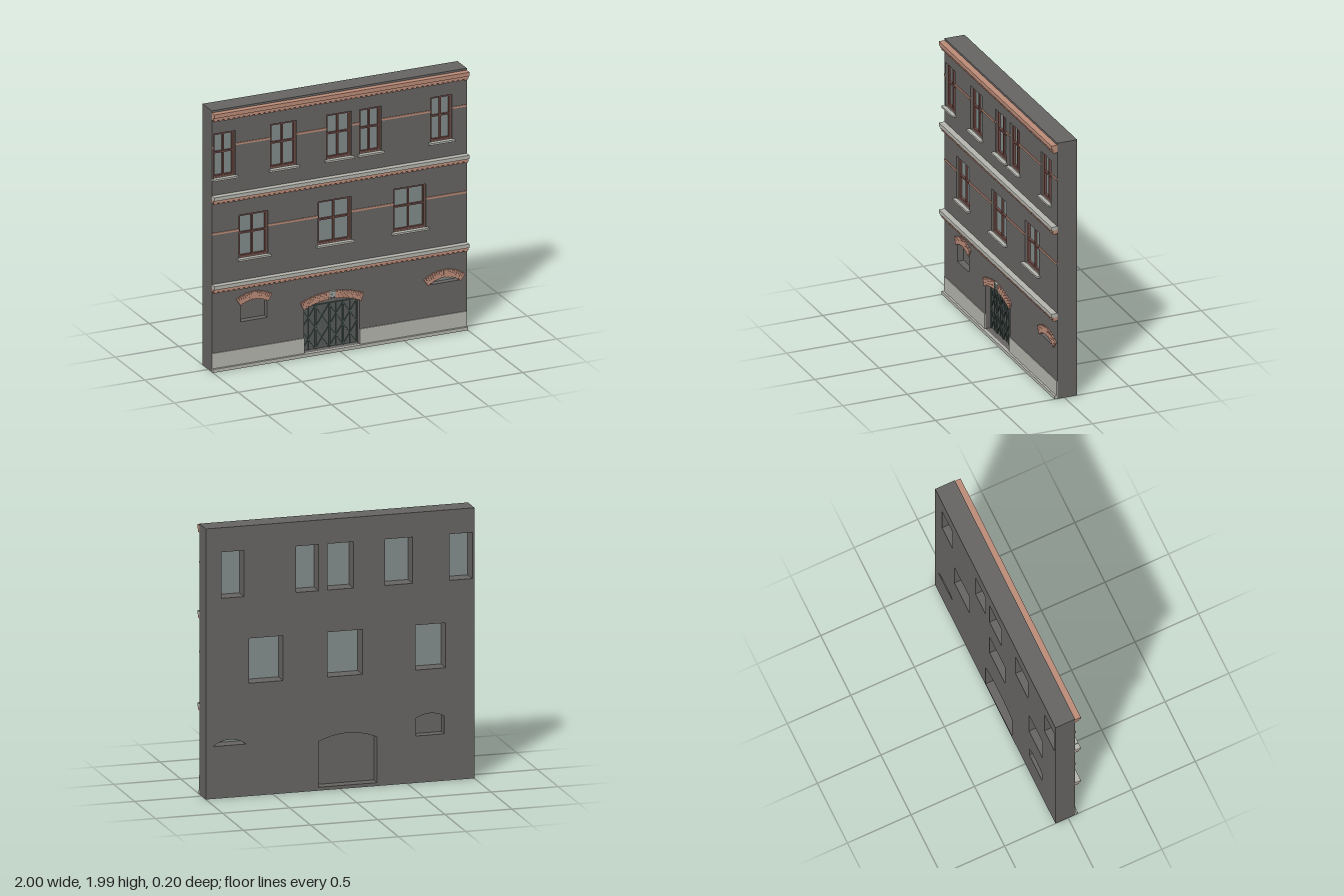
import * as THREE from 'three';

const mat = (name, color) => {
  const m = new THREE.MeshStandardMaterial({ color });
  m.name = name;
  return m;
};

const FRONT = 0.055, BACK = -0.1;

// Openings: [x0, x1, y0, y1, rise of the arched head]
const UPPER = [[-0.985, -0.815], [-0.54, -0.335], [-0.1, 0.095], [0.16, 0.33], [0.715, 0.885]]
  .map(([a, b]) => [a, b, 1.47, 1.81, 0]);
const MIDDLE = [[-0.785, -0.56], [-0.165, 0.095], [0.425, 0.68]]
  .map(([a, b]) => [a, b, 0.83, 1.16, 0]);
const GATE = [-0.275, 0.16, 0.025, 0.36, 0.048];
const NICHE = [-0.775, -0.565, 0.345, 0.475, 0.03];
const LUNETTE = [0.7, 0.945, 0.385, 0.385, 0.042];

// Circle through both springing points and the crown
function arc([x0, x1, , y1, rise]) {
  const half = (x1 - x0) / 2;
  const r = (half * half + rise * rise) / (2 * rise);
  return { cx: (x0 + x1) / 2, cy: y1 + rise - r, r, a: Math.asin(half / r) };
}

function trace(path, o) {
  const [x0, x1, y0, y1, rise] = o;
  path.moveTo(x0, y0);
  path.lineTo(x1, y0);
  if (y1 > y0) path.lineTo(x1, y1);
  if (rise) {
    const { cx, cy, r, a } = arc(o);
    path.absarc(cx, cy, r, Math.PI / 2 - a, Math.PI / 2 + a, false);
  } else path.lineTo(x0, y1);
  path.closePath();
  return path;
}

export function createModel() {
  const model = new THREE.Group();
  model.name = 'facade';
  const wallMat = mat('dark plaster', 0x666462);
  const brick = mat('brick', 0xbb8b78);
  const stone = mat('pale stone', 0xb3b4ad);
  const glass = mat('glass', 0x828c8a);
  const frameMat = mat('brown frame', 0x704a45);
  const gateMat = mat('gate panel', 0x565a58);
  const iron = mat('gate lattice', 0x465551);

  const add = (parent, name, geo, material) => {
    const mesh = new THREE.Mesh(geo, material);
    mesh.name = name;
    parent.add(mesh);
    return mesh;
  };
  // Box from its limits
  const box = (parent, name, material, x0, x1, y0, y1, z0, z1) => {
    const mesh = add(parent, name, new THREE.BoxGeometry(x1 - x0, y1 - y0, z1 - z0), material);
    mesh.position.set((x0 + x1) / 2, (y0 + y1) / 2, (z0 + z1) / 2);
    return mesh;
  };
  const group = (name) => {
    const g = new THREE.Group();
    g.name = name;
    model.add(g);
    return g;
  };
  const plate = (parent, name, material, o, z0, z1) => {
    const geo = new THREE.ExtrudeGeometry(trace(new THREE.Shape(), o),
      { depth: z1 - z0, bevelEnabled: false, curveSegments: 16 });
    add(parent, name, geo, material).position.z = z0;
  };

  // Wall with its openings
  const shape = trace(new THREE.Shape(), [-1, 1, 0.004, 1.99, 0]);
  for (const o of [...UPPER, ...MIDDLE, GATE, NICHE, LUNETTE]) shape.holes.push(trace(new THREE.Path(), o));
  const wall = new THREE.ExtrudeGeometry(shape, { depth: FRONT - BACK, bevelEnabled: false, curveSegments: 16 });
  add(model, 'wall', wall, wallMat).position.z = BACK;
  box(model, 'groundPlate', glass, -1, 1, 0, 0.004, BACK, FRONT);

  // Plinth, cut by the gate, and its foot
  box(model, 'plinthRight', stone, -1, GATE[0], 0.025, 0.14, FRONT, 0.061);
  box(model, 'plinthLeft', stone, GATE[1], 1, 0.025, 0.14, FRONT, 0.061);
  box(model, 'plinthFoot', stone, -1, 1, 0, 0.025, FRONT, 0.077);

  // Cornices: projecting slab, brick band and a row of dentils
  function cornice(name, y, slabHeight, slabMat) {
    const g = group(name);
    box(g, 'slab', slabMat, -1, 1, y - slabHeight, y, FRONT, 0.1);
    const b = y - slabHeight;
    box(g, 'band', brick, -1, 1, b - 0.022, b, FRONT, 0.087);
    const n = 50, step = 2 / n;
    for (let i = 0; i < n; i++) {
      const x = -1 + (i + 0.5) * step;
      box(g, 'dentil', brick, x - 0.012, x + 0.012, b - 0.034, b - 0.022, FRONT, 0.083);
    }
  }
  cornice('lowerCornice', 0.665, 0.028, stone);
  cornice('middleCornice', 1.342, 0.028, stone);
  cornice('topCornice', 1.975, 0.03, brick);

  // String courses running between the windows
  function stringCourse(name, windows, y0, y1) {
    const g = group(name);
    let x = -1;
    for (const [a, b] of [...windows, [1, 1]]) {
      box(g, 'course', brick, x, a, y0, y1, FRONT, 0.061);
      x = b;
    }
  }
  stringCourse('upperStringCourse', UPPER, 1.7, 1.715);
  stringCourse('middleStringCourse', MIDDLE, 1.041, 1.056);

  // Border of four bars
  function border(parent, name, material, x0, x1, y0, y1, t, z0, z1) {
    box(parent, name, material, x0, x0 + t, y0, y1, z0, z1);
    box(parent, name, material, x1 - t, x1, y0, y1, z0, z1);
    box(parent, name, material, x0 + t, x1 - t, y0, y0 + t, z0, z1);
    box(parent, name, material, x0 + t, x1 - t, y1 - t, y1, z0, z1);
  }

  // Windows: glass, frame, cross bars and sill
  for (const [x0, x1, y0, y1] of [...UPPER, ...MIDDLE]) {
    const g = group('window');
    const cx = (x0 + x1) / 2, ty = y0 + (y1 - y0) * 0.56;
    box(g, 'glass', glass, x0, x1, y0, y1, 0.014, 0.02);
    border(g, 'outerTrim', brick, x0, x1, y0, y1, 0.005, 0.02, 0.04);
    border(g, 'frame', frameMat, x0 + 0.005, x1 - 0.005, y0 + 0.005, y1 - 0.005, 0.011, 0.02, 0.036);
    box(g, 'mullion', frameMat, cx - 0.006, cx + 0.006, y0 + 0.016, y1 - 0.016, 0.02, 0.034);
    box(g, 'transom', frameMat, x0 + 0.016, x1 - 0.016, ty - 0.006, ty + 0.006, 0.02, 0.036);
    box(g, 'sill', stone, Math.max(-1, x0 - 0.016), x1 + 0.016, y0 - 0.014, y0, FRONT, 0.08);
  }

  // Brick arches of radiating bricks with ragged ends
  function brickArch(name, o, count, skip = 0) {
    const g = group(name);
    const { cx, cy, r, a } = arc(o);
    const spread = a * 1.03, step = (2 * spread) / count;
    for (let i = 0; i < count; i++) {
      const t = -spread + (i + 0.5) * step;
      if (Math.abs(t) * r < skip) continue;
      const len = i % 2 ? 0.054 : 0.062, mid = r + 0.03;
      const b = add(g, 'brick', new THREE.BoxGeometry(step * mid * 0.95, len, 0.012), brick);
      b.position.set(cx + Math.sin(t) * mid, cy + Math.cos(t) * mid, FRONT + 0.005);
      b.rotation.z = -t;
    }
  }
  brickArch('gateArch', GATE, 35, 0.02);
  brickArch('nicheArch', NICHE, 17);
  brickArch('lunetteArch', LUNETTE, 19);

  // Keystone with a small carved square
  const key = group('keystone');
  box(key, 'block', stone, -0.083, -0.037, 0.415, 0.467, FRONT, 0.068);
  border(key, 'blockEdge', glass, -0.083, -0.037, 0.417, 0.465, 0.006, 0.068, 0.071);
  const boss = add(key, 'boss', new THREE.BoxGeometry(0.016, 0.016, 0.006), glass);
  boss.position.set(-0.06, 0.441, 0.07);
  boss.rotation.z = Math.PI / 4;

  // Blind niche and lunette glass
  plate(model, 'nichePanel', wallMat, NICHE, -0.03, 0.005);
  plate(model, 'lunetteGlass', glass, LUNETTE, 0.0, 0.008);

  // Gate: backing, four leaves and a diamond lattice
  const gate = group('gate');
  plate(gate, 'backing', wallMat, GATE, -0.02, 0.0);
  const [gx0, gx1, gy0, gy1] = GATE;
  box(gate, 'lintel', iron, gx0, gx1, gy1 - 0.008, gy1, 0, 0.014);
  const leaf = (gx1 - gx0) / 4, rows = 2, rowHeight = (gy1 - 0.008 - gy0) / rows;
  for (let i = 0; i < 4; i++) {
    const x0 = gx0 + i * leaf, x1 = x0 + leaf;
    box(gate, 'leaf', gateMat, x0 + 0.002, x1 - 0.002, gy0, gy1 - 0.008, 0, 0.006);
    for (const x of [x0, x1 - 0.006]) box(gate, 'stile', iron, x, x + 0.006, gy0, gy1 - 0.008, 0.006, 0.016);
    box(gate, 'midBar', iron, (x0 + x1) / 2 - 0.002, (x0 + x1) / 2 + 0.002, gy0, gy1 - 0.008, 0.006, 0.011);
    for (let j = 0; j < rows; j++) {
      for (const s of [-1, 1]) {
        const d = add(gate, 'diagonal', new THREE.BoxGeometry(0.007, Math.hypot(leaf, rowHeight) - 0.008, 0.008), iron);
        d.position.set((x0 + x1) / 2, gy0 + (j + 0.5) * rowHeight, 0.01);
        d.rotation.z = s * Math.atan2(leaf, rowHeight);
      }
    }
  }
  return model;
}
